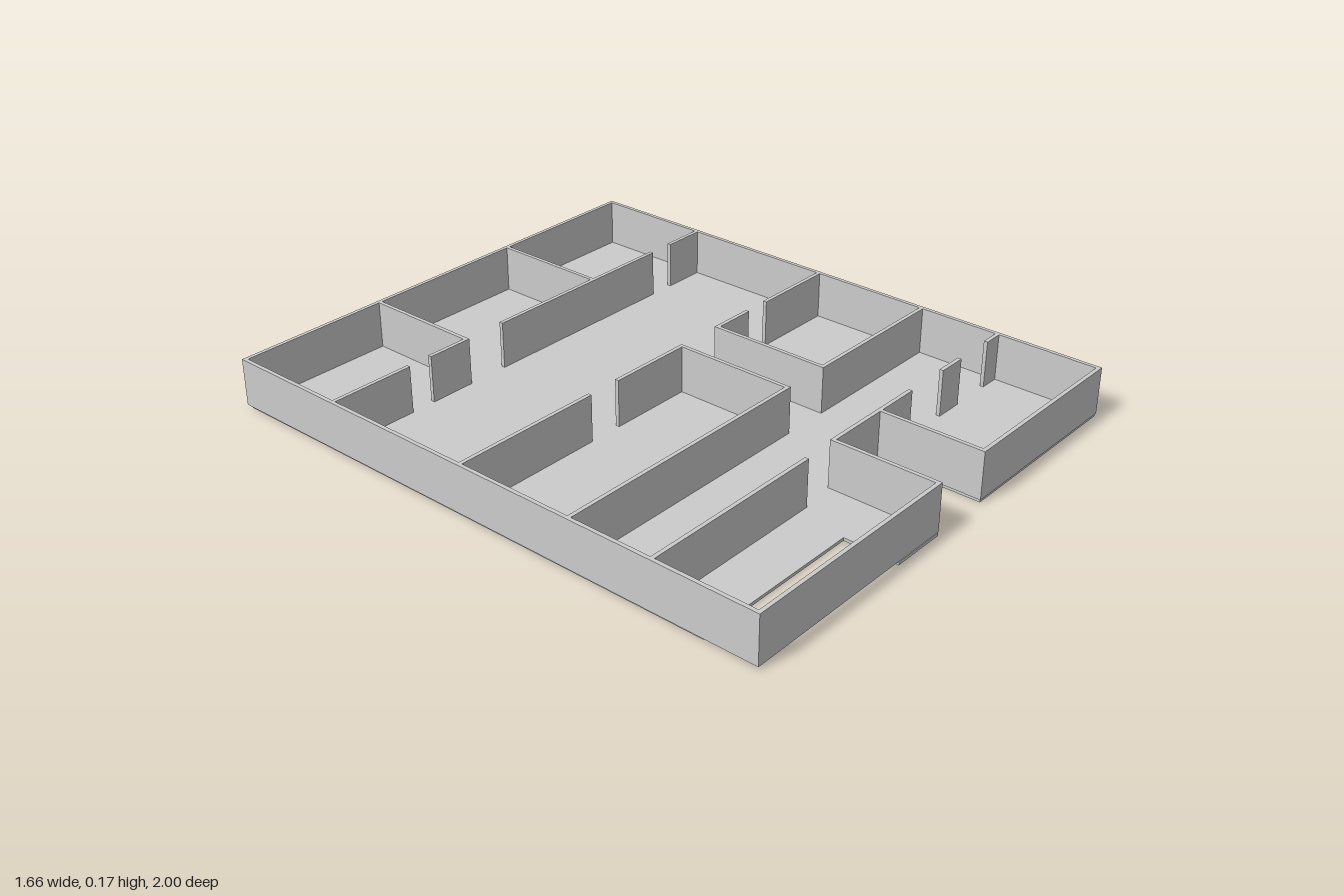
import * as THREE from 'three';

const FLOOR = 0.01, TOP = 0.167, T = 0.013; // floor thickness, wall top, wall thickness

export function createModel() {
  const model = new THREE.Group();
  model.name = 'floorPlan';
  const material = new THREE.MeshStandardMaterial({ color: 0xcccccc, flatShading: true });

  // Floor slab: outline in x, z with the entrance recess and the open corner cut out
  const outline = [
    [-0.825, -0.987], [0.83, -0.987], [0.83, 0.73], [0.82, 0.73], [0.82, 0.995], [0.17, 0.995],
    [0.17, 0.73], [-0.05, 0.73], [-0.05, 1], [-0.237, 1], [-0.237, 0.82], [-0.825, 0.82],
  ];
  const shape = new THREE.Shape(outline.map(([x, z]) => new THREE.Vector2(x, -z)));
  const slab = new THREE.ExtrudeGeometry(shape, { depth: FLOOR, bevelEnabled: false });
  slab.rotateX(-Math.PI / 2);
  const floor = new THREE.Mesh(slab, material);
  floor.name = 'floor';
  model.add(floor);

  // One wall box from its plan rectangle
  function wall(name, x0, x1, z0, z1) {
    const mesh = new THREE.Mesh(new THREE.BoxGeometry(x1 - x0, TOP - FLOOR, z1 - z0), material);
    mesh.position.set((x0 + x1) / 2, (FLOOR + TOP) / 2, (z0 + z1) / 2);
    mesh.name = name;
    model.add(mesh);
  }

  // Walls running along x: name, z of the back face, then the spans between doorways
  const rows = [
    ['backWall', -1, [[-0.833, 0.823]]],
    ['backRoomsWall', -0.592, [[-0.82, -0.532], [-0.447, -0.288], [-0.145, 0.574], [0.664, 0.81]]],
    ['middleRoomsBackWall', -0.058, [[-0.82, -0.304], [-0.188, 0.115], [0.275, 0.431], [0.521, 0.81]]],
    ['middleRoomsFrontWall', 0.352, [[-0.82, 0.115], [0.275, 0.81]]],
    ['porchWall', 0.64, [[-0.82, -0.18]]],
    ['frontRoomsWall', 0.635, [[-0.058, 0.331], [0.495, 0.595], [0.743, 0.81]]],
    ['frontWall', 0.985, [[-0.833, -0.045], [0.167, 0.823]]],
  ];
  for (const [name, z, spans] of rows)
    for (const [x0, x1] of spans) wall(name, x0, x1, z, z + T);

  // Walls running along z, fitted between the rows: name, x of the low face, z range
  const columns = [
    ['rightSideWall', -0.833, -0.987, 0.985],
    ['leftSideWall', 0.81, -0.987, 0.985],
    ['backRoomDivider', -0.301, -0.987, -0.592],
    ['backRoomDivider', 0.275, -0.987, -0.592],
    ['middleRoomSideWall', 0.102, -0.045, 0.352],
    ['middleRoomSideWall', 0.275, -0.045, 0.352],
    ['entranceSideWall', -0.058, 0.648, 0.985],
    ['entranceSideWall', 0.167, 0.648, 0.985],
  ];
  for (const [name, x, z0, z1] of columns) wall(name, x, x + T, z0, z1);

  return model;
}
